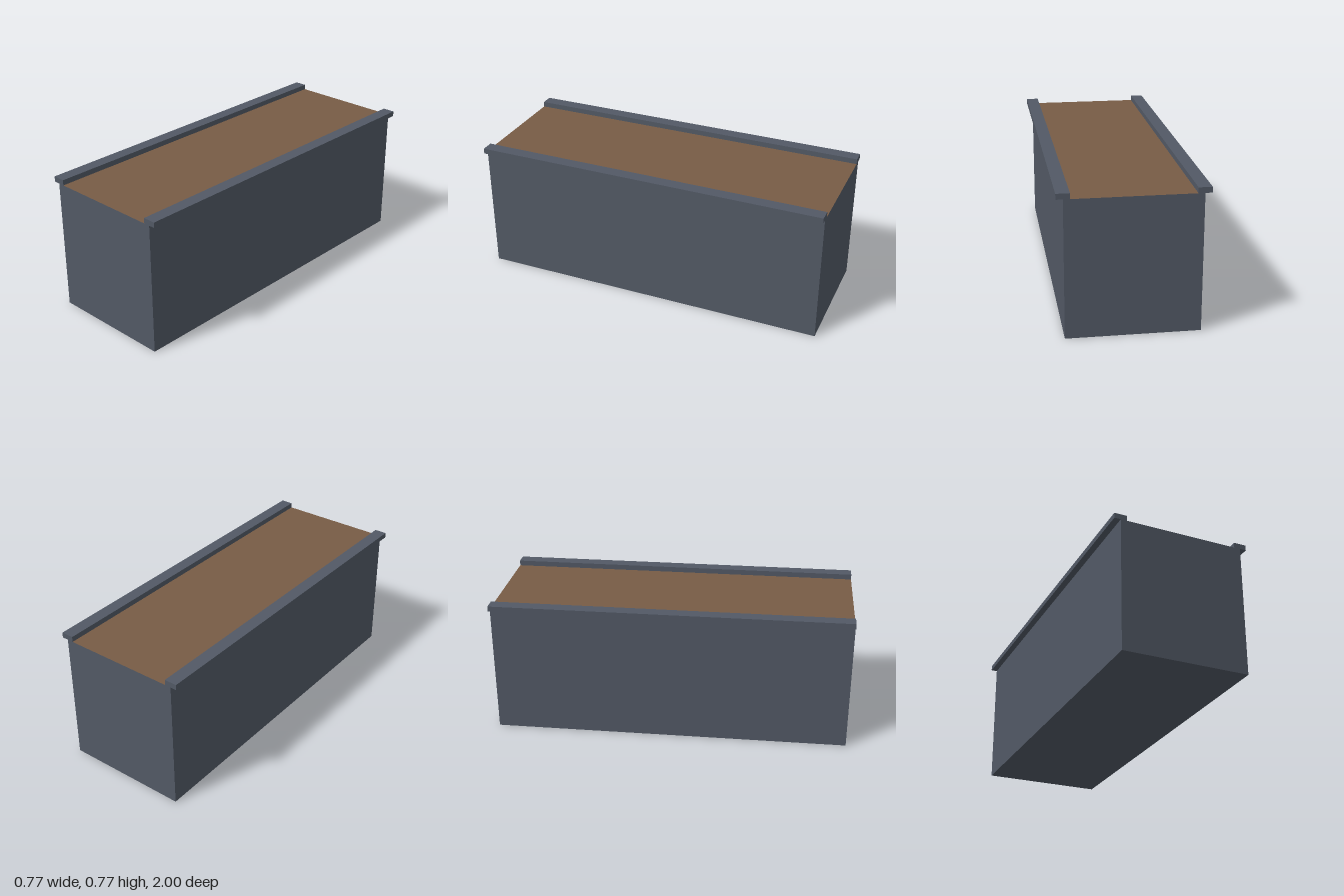
import * as THREE from 'three';

const WIDTH = 0.7, HEIGHT = 0.74, LENGTH = 2;
const RAIL_WIDTH = 0.071, RAIL_HEIGHT = 0.03, RAIL_X = 0.3505;

export function createModel() {
  const model = new THREE.Group();
  model.name = 'ballastWall';

  const slate = new THREE.MeshStandardMaterial({ color: 0x525965 });
  slate.name = 'slate grey';
  const brown = new THREE.MeshStandardMaterial({ color: 0x785c45 });
  brown.name = 'earth brown';

  // Solid block with a brown top face (groups: +x, -x, +y, -y, +z, -z)
  const body = new THREE.Mesh(
    new THREE.BoxGeometry(WIDTH, HEIGHT, LENGTH),
    [slate, slate, brown, slate, slate, slate]
  );
  body.name = 'body';
  body.position.y = HEIGHT / 2;
  model.add(body);

  // Raised rails centred on the long top edges
  for (const side of [-1, 1]) {
    const rail = new THREE.Mesh(new THREE.BoxGeometry(RAIL_WIDTH, RAIL_HEIGHT, LENGTH), slate);
    rail.name = side > 0 ? 'leftRail' : 'rightRail';
    rail.position.set(side * RAIL_X, HEIGHT + RAIL_HEIGHT / 2, 0);
    model.add(rail);
  }

  return model;
}
